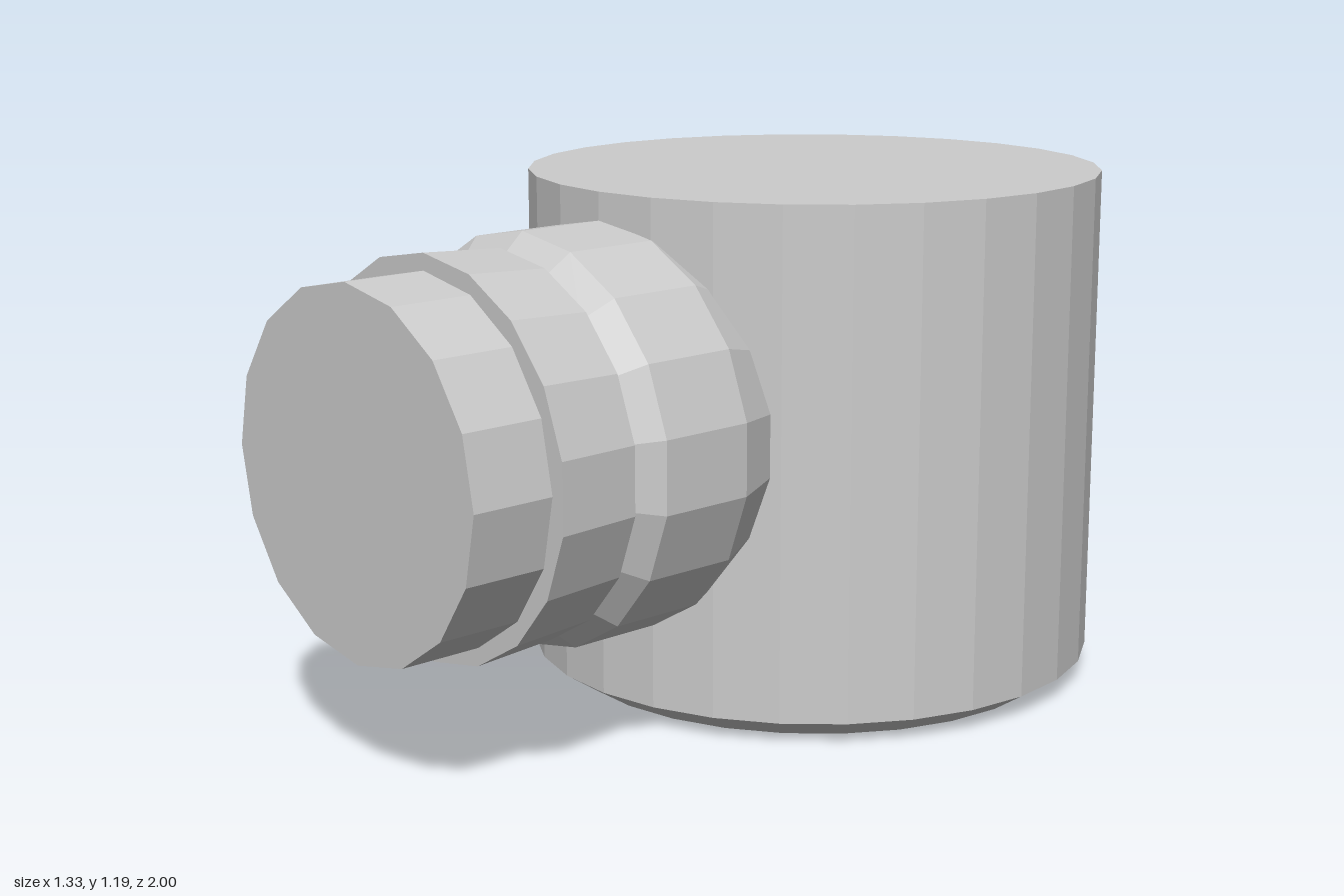
import * as THREE from 'three';

const material = new THREE.MeshStandardMaterial({ color: 0xcccccc, flatShading: true });

// Closed solid of revolution from [radius, height] pairs, listed upwards
function turned(name, profile, sides) {
  const points = profile.map(([r, h]) => new THREE.Vector2(r, h));
  points.unshift(new THREE.Vector2(0, profile[0][1]));
  points.push(new THREE.Vector2(0, profile[profile.length - 1][1]));
  const mesh = new THREE.Mesh(new THREE.LatheGeometry(points, sides), material);
  mesh.name = name;
  return mesh;
}

export function createModel() {
  const model = new THREE.Group();
  model.name = 'pipeElbow';

  // Upright drum with a chamfered lower rim
  const body = turned('body', [[0.59, 0], [0.667, 0.05], [0.667, 1.19]], 28);
  body.position.z = -0.335;
  model.add(body);

  // Horizontal outlet: chamfered socket, collar ring and end plug
  const outlet = new THREE.Group();
  outlet.name = 'outlet';
  outlet.position.y = 0.672;
  outlet.rotation.x = Math.PI / 2;
  outlet.add(
    turned('socket', [[0.38, 0.15], [0.455, 0.32], [0.455, 0.545], [0.4, 0.605]], 18),
    turned('collar', [[0.425, 0.605], [0.437, 0.805]], 18),
    turned('endPlug', [[0.4, 0.78], [0.4, 1]], 16),
  );
  model.add(outlet);
  return model;
}
